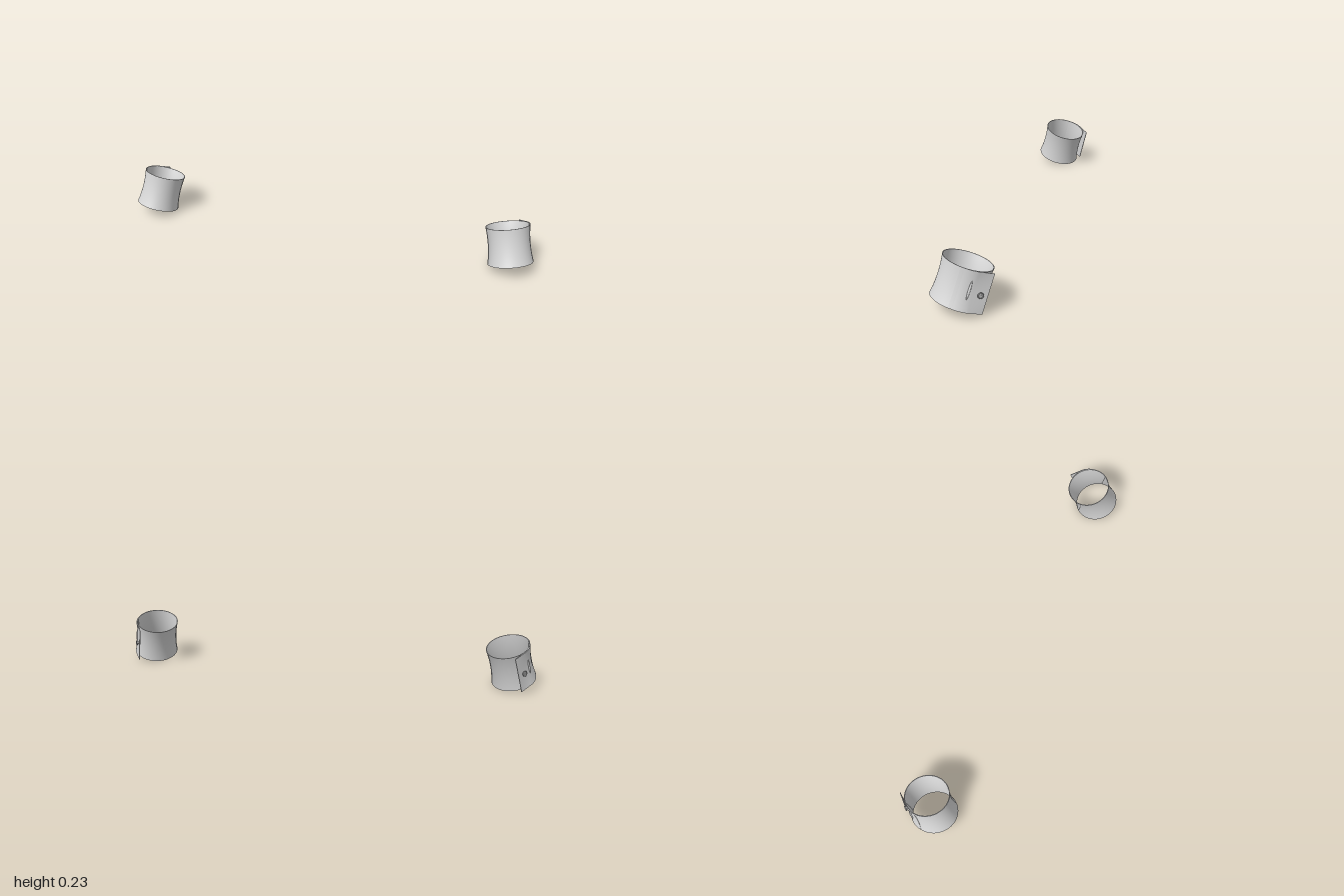
import * as THREE from 'three';

const HEIGHT = 0.172;
const cloth = new THREE.MeshStandardMaterial({ color: 0xd6d6d6 });
cloth.name = 'pale cloth';
const buttonGrey = new THREE.MeshStandardMaterial({ color: 0xc2c2c2 });
buttonGrey.name = 'button grey';

// Bends a thin box: its length follows path(t) -> {x, z, nx, nz, waist}, its height stays upright.
// side mirrors the result across x while keeping the faces outward.
function bentBand(path, segments, thickness, side) {
  const geo = new THREE.BoxGeometry(1, 1, 1, segments, 12, 1);
  const pos = geo.attributes.position;
  for (let i = 0; i < pos.count; i++) {
    const p = path(side * pos.getX(i) + 0.5);
    const v = pos.getY(i);
    const out = (pos.getZ(i) - 0.5) * thickness - p.waist * (1 - 4 * v * v) + 0.003 * (0.5 - v);
    pos.setXYZ(i, side * (p.x + p.nx * out), v * HEIGHT, p.z + p.nz * out);
  }
  geo.computeVertexNormals();
  return geo;
}

const RX = 0.099, RZ = 0.105;
const arc = (angle, grow = 0) => ({
  x: (RX + grow) * Math.cos(angle), z: -(RZ + grow) * Math.sin(angle),
  nx: Math.cos(angle), nz: -Math.sin(angle), waist: 0.007,
});

// Full ring around the wrist
const ringPath = (t) => arc(t * Math.PI * 2);

// Overlap: hugs the outer side, then runs straight off the ring
const START = 0.15, LEAVE = 0.7, STRAIGHT = 0.066;
function flapPath(t) {
  if (t < 0.5) return arc(START + (LEAVE - START) * t * 2, 0.001 + 0.008 * t);
  const p = arc(LEAVE, 0.005);
  const k = (t - 0.5) * 2;
  p.x -= Math.sin(LEAVE) * STRAIGHT * k;
  p.z -= Math.cos(LEAVE) * STRAIGHT * k;
  p.waist *= 1 - k;
  return p;
}

function add(parent, name, geometry, material) {
  const mesh = new THREE.Mesh(geometry, material);
  mesh.name = name;
  parent.add(mesh);
  return mesh;
}

// Round button with a raised rim and crossed thread, facing +z
function makeButton() {
  const button = new THREE.Group();
  button.name = 'button';
  add(button, 'buttonShank', new THREE.CylinderGeometry(0.006, 0.006, 0.008, 16).rotateX(Math.PI / 2), buttonGrey);
  add(button, 'buttonDisc', new THREE.CylinderGeometry(0.012, 0.012, 0.004, 28).rotateX(Math.PI / 2), buttonGrey)
    .position.z = 0.005;
  add(button, 'buttonRim', new THREE.TorusGeometry(0.0108, 0.0024, 8, 28), buttonGrey).position.z = 0.0065;
  for (const turn of [-1, 1]) {
    const thread = add(button, 'buttonThread', new THREE.BoxGeometry(0.011, 0.0022, 0.002), buttonGrey);
    thread.position.z = 0.0075;
    thread.rotation.z = turn * Math.PI / 4;
  }
  return button;
}

function makeCuff(side) {
  const cuff = new THREE.Group();
  cuff.name = side > 0 ? 'leftCuff' : 'rightCuff';
  add(cuff, 'cuffBand', bentBand(ringPath, 64, 0.003, side), cloth);
  add(cuff, 'cuffFlap', bentBand(flapPath, 24, 0.003, side), cloth);

  // Small fold where the flap leaves the ring
  const f = arc(0.56, -0.001);
  const fold = add(cuff, 'clothFold', new THREE.SphereGeometry(1, 16, 12), cloth);
  fold.scale.set(0.005, 0.04, 0.005);
  fold.position.set(side * f.x, 0.004, f.z);

  const p = flapPath(0.74);
  const button = makeButton();
  button.position.set(side * (p.x + p.nx * 0.001), -0.006, p.z + p.nz * 0.001);
  button.rotation.y = Math.atan2(side * p.nx, p.nz);
  cuff.add(button);

  // Lean inward and back
  const axis = new THREE.Vector3(-0.035 * side, 0.166, -0.045).normalize();
  cuff.quaternion.setFromUnitVectors(new THREE.Vector3(0, 1, 0), axis);
  cuff.position.set(0.881 * side, 0.117, 0.0115);
  return cuff;
}

export function createModel() {
  const model = new THREE.Group();
  model.name = 'pairOfCuffs';
  for (const side of [1, -1]) model.add(makeCuff(side));
  return model;
}
